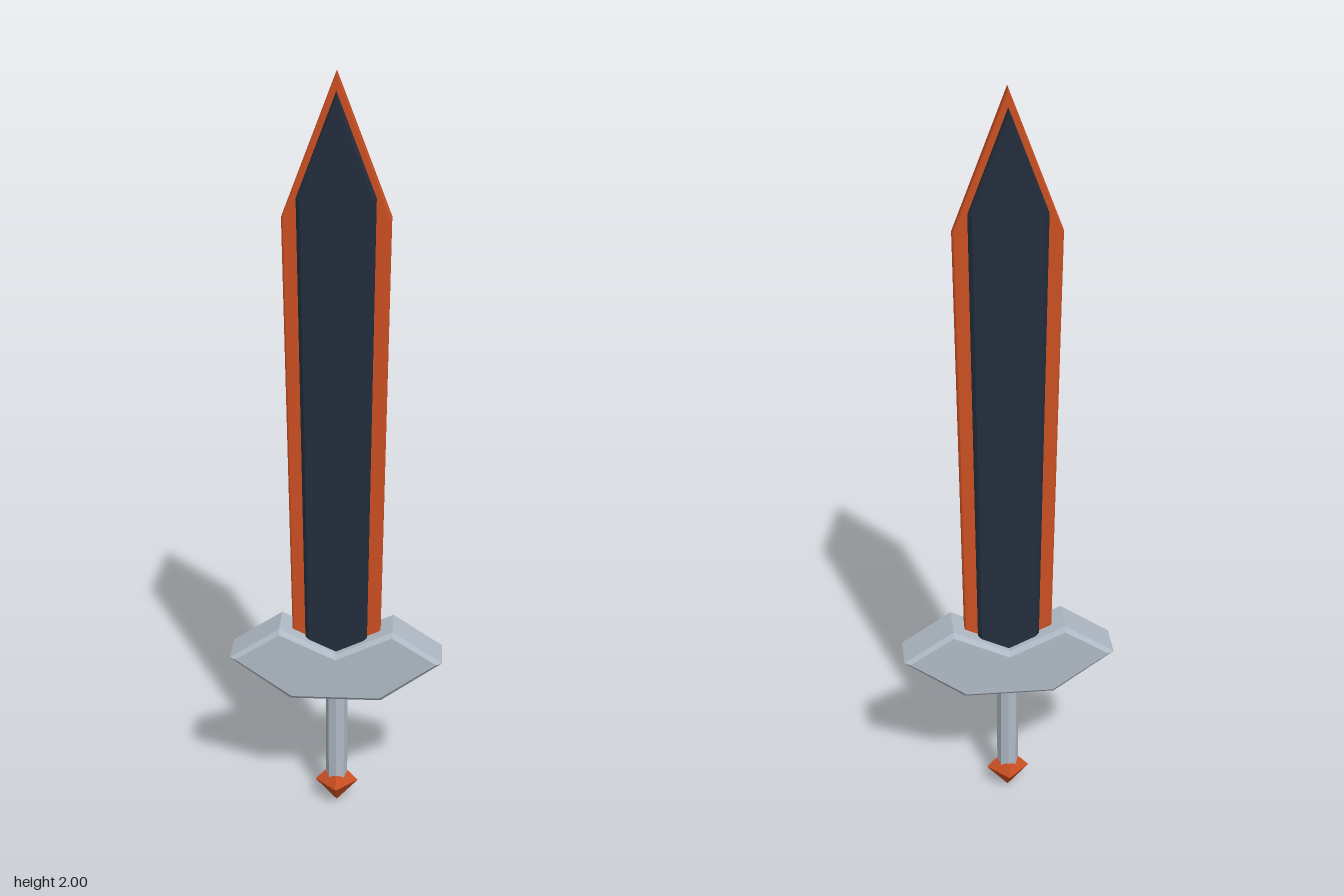
import * as THREE from 'three';

const material = (name, color) => {
  const m = new THREE.MeshStandardMaterial({ color });
  m.name = name;
  return m;
};

// Symmetric outline from its right half, extruded about z = 0 with a chamfered rim
function plate(half, depth, bevel) {
  const left = half.filter(([x]) => x > 0).map(([x, y]) => [-x, y]).reverse();
  const shape = new THREE.Shape([...half, ...left].map(([x, y]) => new THREE.Vector2(x, y)));
  const geometry = new THREE.ExtrudeGeometry(shape, {
    depth: depth - 2 * bevel,
    bevelEnabled: true,
    bevelThickness: bevel,
    bevelSize: bevel,
    bevelOffset: -bevel,
    bevelSegments: 1,
  });
  return geometry.translate(0, 0, bevel - depth / 2);
}

export function createModel() {
  const group = new THREE.Group();
  const orange = material('burnt orange', 0xcb4f22);
  const navy = material('dark navy', 0x222d3b);
  const steel = material('pale steel', 0xb0b9c4);

  const add = (name, geometry, mat, y = 0) => {
    const mesh = new THREE.Mesh(geometry, mat);
    mesh.name = name;
    mesh.position.y = y;
    group.add(mesh);
  };
  // Faceted, tapered prism between two heights
  const prism = (name, rTop, rBottom, y0, y1, sides, mat) => {
    const g = new THREE.CylinderGeometry(rTop, rBottom, y1 - y0, sides).toNonIndexed();
    g.computeVertexNormals();
    add(name, g, mat, (y0 + y1) / 2);
  };

  // Blade: thin cutting edge with a thicker core through it
  add('bladeEdge', plate([[0.115, 0.44], [0.134, 1.65], [0, 2]], 0.03, 0.004), orange);
  add('bladeCore', plate([[0.08, 0.42], [0.097, 1.7], [0, 1.955]], 0.07, 0.009), navy);

  // Winged crossguard with a notch at the blade
  add('guard', plate([[0.12, 0.345], [0.281, 0.462], [0.149, 0.55], [0, 0.48]], 0.122, 0.011), steel);

  // Grip
  prism('grip', 0.029, 0.029, 0.07, 0.36, 8, steel);

  // Four-sided pommel
  prism('pommelTop', 0.033, 0.058, 0.063, 0.09, 4, orange);
  prism('pommelPoint', 0.058, 0.0005, 0, 0.063, 4, orange);

  return group;
}
